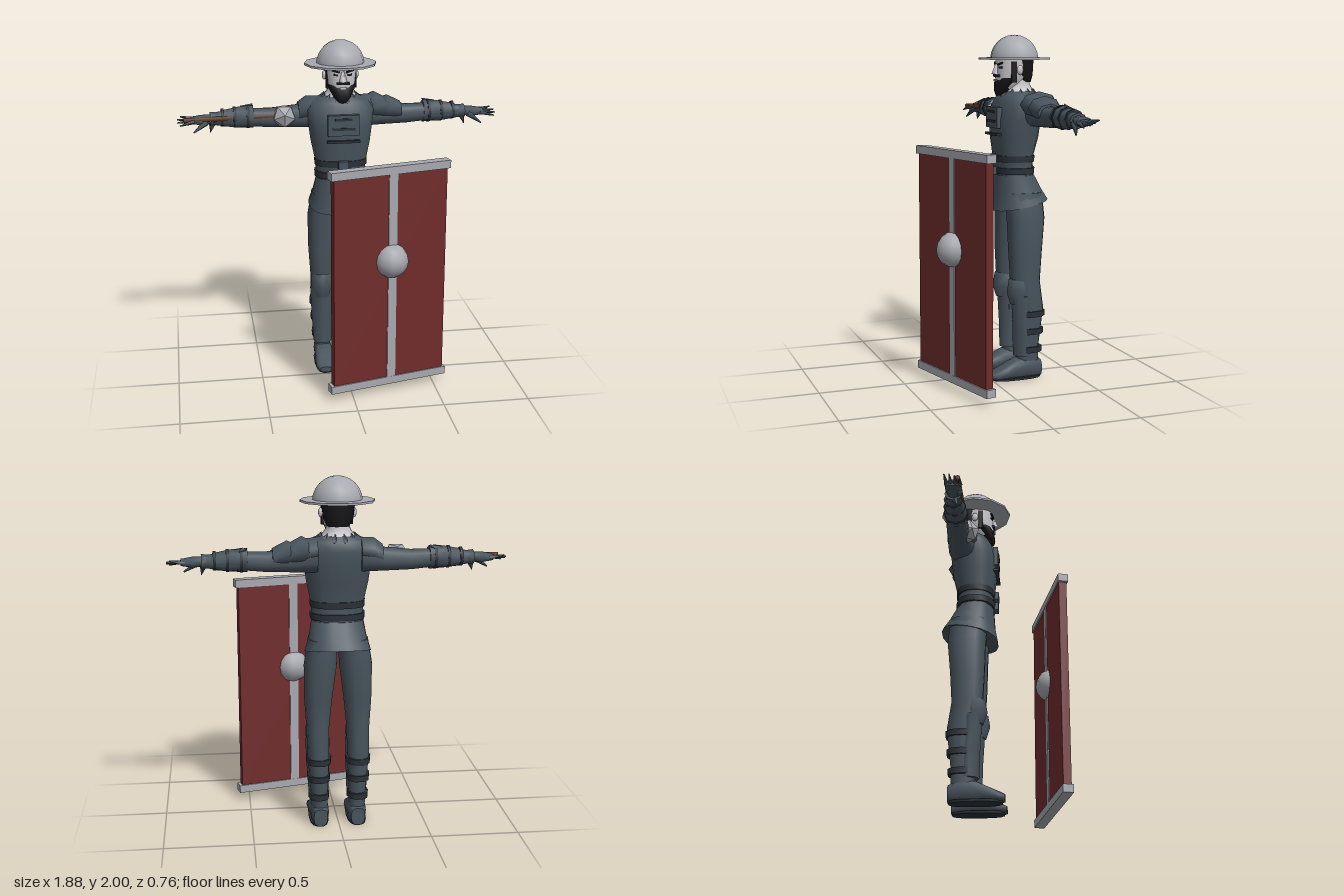
import * as THREE from 'three';

const mat = (name, color) => Object.assign(new THREE.MeshStandardMaterial({ color }), { name });

// Skin through elliptical sections [t, centreU, centreV, radiusU, radiusV, tilt] along an axis, t rising.
// Axis y uses (x, z), axis x uses (y, z), axis z uses (x, y).
function loft(axis, sections, n = 14, power = 0.85) {
  const pos = [], idx = [];
  const soft = (v) => Math.sign(v) * Math.abs(v) ** power;
  const put = (t, u, v) => {
    if (axis === 'y') pos.push(u, t, v);
    else if (axis === 'x') pos.push(t, u, v);
    else pos.push(u, v, t);
    return pos.length / 3 - 1;
  };
  const s = axis === 'y' ? -1 : 1;
  const ring = ([t, cu, cv, ru, rv, tilt = 0]) => {
    const first = pos.length / 3;
    for (let j = 0; j < n; j++) {
      const a = (j / n) * Math.PI * 2;
      const dv = s * rv * soft(Math.sin(a));
      put(t + tilt * dv, cu + ru * soft(Math.cos(a)), cv + dv);
    }
    return first;
  };
  const starts = sections.map(ring);
  for (let i = 0; i + 1 < starts.length; i++) {
    for (let j = 0; j < n; j++) {
      const k = (j + 1) % n, a = starts[i], b = starts[i + 1];
      idx.push(a + j, a + k, b + j, a + k, b + k, b + j);
    }
  }
  for (const [sec, end] of [[sections[0], false], [sections[sections.length - 1], true]]) {
    const r = ring(sec), c = put(sec[0], sec[1], sec[2]);
    for (let j = 0; j < n; j++) {
      const k = (j + 1) % n;
      if (end) idx.push(c, r + j, r + k);
      else idx.push(c, r + k, r + j);
    }
  }
  const g = new THREE.BufferGeometry();
  g.setAttribute('position', new THREE.Float32BufferAttribute(pos, 3));
  g.setIndex(idx);
  g.computeVertexNormals();
  return g;
}

// Copy reflected across x = 0 with corrected winding
function mirror(geo) {
  const g = geo.clone().scale(-1, 1, 1), a = g.index.array;
  for (let i = 0; i < a.length; i += 3) [a[i], a[i + 1]] = [a[i + 1], a[i]];
  g.computeVertexNormals();
  return g;
}

const box = (w, h, d, x, y, z, rz = 0, ry = 0) =>
  new THREE.BoxGeometry(w, h, d).rotateZ(rz).rotateY(ry).translate(x, y, z);

// Tapered rod between two points
function rod(a, b, r0, r1, n = 5) {
  const from = new THREE.Vector3(...a), dir = new THREE.Vector3(...b).sub(from);
  const g = new THREE.CylinderGeometry(r1, r0, dir.length(), n);
  g.applyQuaternion(new THREE.Quaternion().setFromUnitVectors(new THREE.Vector3(0, 1, 0), dir.clone().normalize()));
  return g.translate(...from.addScaledVector(dir, 0.5).toArray());
}

export function createModel() {
  const root = new THREE.Group();
  root.name = 'soldier';
  const suit = mat('slate cloth', 0x47535c), dark = mat('dark leather', 0x2a3137);
  const skin = mat('pale skin', 0xc8c6cb), hairMat = mat('black hair', 0x141418);
  const steel = mat('steel', 0xa8a9b0), red = mat('red panel', 0x702c2c), wood = mat('brown wood', 0x5c3720);
  const add = (name, geo, m, parent = root) => {
    const mesh = new THREE.Mesh(geo, m);
    mesh.name = name;
    parent.add(mesh);
    return mesh;
  };
  const pair = (name, geo, m) => {
    add(name + 'Left', geo, m);
    add(name + 'Right', mirror(geo), m);
  };

  // Torso, flared skirt and belts
  add('torso', loft('y', [
    [1.08, 0, -0.19, 0.155, 0.12], [1.2, 0, -0.17, 0.142, 0.105], [1.3, 0, -0.167, 0.15, 0.105],
    [1.42, 0, -0.175, 0.175, 0.128], [1.52, 0, -0.18, 0.188, 0.135], [1.6, 0, -0.193, 0.2, 0.132],
    [1.65, 0, -0.2, 0.17, 0.112], [1.68, 0, -0.2, 0.1, 0.085]], 18), suit);
  add('skirt', loft('y', [
    [1.025, 0, -0.2, 0.188, 0.165, -0.2], [1.1, 0, -0.19, 0.165, 0.138, -0.1],
    [1.2, 0, -0.17, 0.147, 0.11]], 18), suit);
  for (const y of [1.225, 1.295]) {
    add('belt', loft('y', [[y - 0.018, 0, -0.168, 0.154, 0.113], [y + 0.018, 0, -0.168, 0.156, 0.114]], 18), dark);
    add('beltBuckle', box(0.06, 0.045, 0.03, 0, y, -0.048), suit);
  }
  // Chest plate with slots
  add('chestPlate', box(0.18, 0.12, 0.03, 0, 1.53, -0.05), suit);
  for (const [y, w] of [[1.565, 0.1], [1.51, 0.13], [1.435, 0.19]])
    add('chestSlot', box(w, 0.014, 0.03, 0, y, -0.045), dark);
  // Skin yoke, ragged collar and neck
  add('neck', loft('y', [[1.64, 0, -0.2, 0.13, 0.105], [1.69, 0, -0.2, 0.085, 0.08],
    [1.72, 0, -0.197, 0.066, 0.07], [1.8, 0, -0.19, 0.066, 0.07]]), skin);
  for (let i = 0; i < 12; i++) {
    const a = (i + 0.5) / 12 * Math.PI * 2, c = Math.cos(a), s = Math.sin(a);
    add('collarPoint', rod([c * 0.12, 1.645, -0.2 + s * 0.1], [c * 0.092, 1.695, -0.2 + s * 0.085], 0.024, 0.001, 4), suit);
  }

  // Head, hair and face
  add('head', loft('y', [[1.675, 0, -0.115, 0.03, 0.035], [1.7, 0, -0.13, 0.058, 0.062],
    [1.76, 0, -0.16, 0.08, 0.094], [1.82, 0, -0.17, 0.088, 0.102], [1.9, 0, -0.172, 0.09, 0.105]], 16), skin);
  add('hair', loft('y', [[1.73, 0, -0.225, 0.06, 0.045], [1.77, 0, -0.217, 0.083, 0.062],
    [1.88, 0, -0.215, 0.096, 0.068]]), hairMat);
  add('beard', loft('y', [[1.655, 0, -0.085, 0.02, 0.022], [1.685, 0, -0.1, 0.05, 0.044],
    [1.73, 0, -0.115, 0.074, 0.054], [1.755, 0, -0.13, 0.082, 0.055]]), hairMat);
  add('moustache', box(0.075, 0.014, 0.02, 0, 1.768, -0.069), hairMat);
  add('mouth', box(0.035, 0.01, 0.008, 0, 1.742, -0.06), skin);
  add('nose', rod([0, 1.775, -0.06], [0, 1.835, -0.068], 0.024, 0.008, 4), skin);
  pair('sideburn', box(0.012, 0.12, 0.03, 0.082, 1.79, -0.142), hairMat);
  pair('ear', new THREE.SphereGeometry(0.025, 8, 6).scale(0.5, 1.1, 0.8).translate(0.094, 1.8, -0.175), skin);
  pair('eyebrow', box(0.045, 0.01, 0.009, 0.04, 1.836, -0.073, 0.25, 0.25), hairMat);
  pair('eye', box(0.026, 0.01, 0.009, 0.04, 1.815, -0.076, 0, 0.25), hairMat);

  // Brimmed helmet
  add('helmetDome', new THREE.SphereGeometry(0.14, 12, 6, 0, Math.PI * 2, 0, Math.PI / 2)
    .translate(0, 1.86, -0.175), steel);
  add('helmetBrim', new THREE.CylinderGeometry(0.208, 0.208, 0.012, 12).translate(0, 1.865, -0.175), steel);

  // Arms, bracers and gloves
  pair('arm', loft('x', [[0.12, 1.565, -0.24, 0.085, 0.085], [0.25, 1.55, -0.248, 0.066, 0.068],
    [0.4, 1.545, -0.247, 0.056, 0.062], [0.5, 1.55, -0.245, 0.052, 0.058], [0.6, 1.55, -0.242, 0.055, 0.056],
    [0.7, 1.55, -0.24, 0.04, 0.042], [0.75, 1.55, -0.237, 0.03, 0.036]]), suit);
  pair('bracer', loft('x', [[0.5, 1.555, -0.245, 0.066, 0.066], [0.58, 1.555, -0.243, 0.062, 0.062],
    [0.69, 1.55, -0.24, 0.046, 0.048]], 8, 1), suit);
  for (const [x, r] of [[0.525, 0.068], [0.6, 0.063], [0.67, 0.054]])
    pair('bracerStrap', loft('x', [[x, 1.555, -0.243, r, r], [x + 0.016, 1.555, -0.243, r, r]], 8, 1), dark);
  pair('elbowPoint', rod([0.56, 1.59, -0.26], [0.5, 1.625, -0.27], 0.03, 0.002, 4), suit);
  pair('gloveCuff', loft('x', [[0.7, 1.55, -0.238, 0.036, 0.04], [0.75, 1.55, -0.237, 0.042, 0.05]], 8, 1), suit);
  pair('palm', loft('x', [[0.74, 1.55, -0.237, 0.028, 0.034], [0.8, 1.547, -0.232, 0.03, 0.046],
    [0.86, 1.547, -0.23, 0.019, 0.044]], 8), suit);
  for (let i = 0; i < 4; i++) {
    const z = -0.266 + i * 0.024;
    pair('finger', rod([0.84, 1.547, z], [0.92 + 0.02 * Math.sin(i), 1.55 - 0.012 * i + 0.012, z * 1.2 + 0.047], 0.014, 0.004), suit);
  }
  pair('thumb', rod([0.77, 1.54, -0.205], [0.845, 1.485, -0.18], 0.021, 0.004), suit);
  pair('cuffPoint', rod([0.735, 1.535, -0.23], [0.75, 1.475, -0.22], 0.025, 0.002, 4), suit);

  // Shoulder guards, larger on the left
  pair('shoulderCap', loft('x', [[0.12, 1.605, -0.23, 0.065, 0.1], [0.19, 1.6, -0.24, 0.07, 0.09],
    [0.24, 1.575, -0.245, 0.058, 0.075]], 10, 1), suit);
  [[0.17, 1.605, 0.073, 0.115], [0.25, 1.59, 0.065, 0.1]].forEach(([x, y, ry, rz]) =>
    add('pauldronLayer', loft('x', [[x, y, -0.245, ry * 0.8, rz * 0.8], [x + 0.035, y + 0.005, -0.245, ry, rz],
      [x + 0.115, y - 0.02, -0.245, ry * 0.76, rz * 0.75]], 8, 1), suit));
  add('pauldronPoint', rod([0.29, 1.6, -0.25], [0.375, 1.605, -0.25], 0.045, 0.002, 4), suit);

  // Legs, greaves, knee guards and boots
  pair('leg', loft('y', [[0.07, 0.108, -0.22, 0.046, 0.066], [0.2, 0.11, -0.22, 0.05, 0.068],
    [0.42, 0.115, -0.225, 0.062, 0.088], [0.58, 0.115, -0.202, 0.066, 0.088], [0.75, 0.112, -0.203, 0.08, 0.098],
    [0.95, 0.1, -0.21, 0.094, 0.11], [1.1, 0.085, -0.2, 0.085, 0.11]]), suit);
  pair('greave', loft('y', [[0.14, 0.11, -0.185, 0.056, 0.055], [0.3, 0.113, -0.185, 0.064, 0.058],
    [0.5, 0.116, -0.178, 0.07, 0.062]], 8, 1), suit);
  pair('kneeGuard', loft('y', [[0.45, 0.116, -0.165, 0.05, 0.055], [0.52, 0.116, -0.16, 0.068, 0.072],
    [0.59, 0.116, -0.165, 0.064, 0.065], [0.61, 0.116, -0.17, 0.04, 0.045]], 8, 1), suit);
  for (const [y, r] of [[0.175, 0.078], [0.285, 0.086], [0.39, 0.094]])
    pair('calfStrap', loft('y', [[y - 0.017, 0.113, -0.226, r * 0.76, r], [y + 0.017, 0.113, -0.226, r * 0.78, r]], 10), dark);
  pair('boot', loft('z', [[-0.3, 0.108, 0.055, 0.04, 0.05], [-0.24, 0.108, 0.068, 0.053, 0.063],
    [-0.15, 0.108, 0.065, 0.056, 0.06], [-0.08, 0.11, 0.047, 0.06, 0.042], [-0.02, 0.113, 0.033, 0.055, 0.028],
    [0.01, 0.114, 0.03, 0.035, 0.018]], 12, 0.7), suit);
  pair('sole', loft('y', [[0, 0.11, -0.15, 0.055, 0.148], [0.014, 0.11, -0.15, 0.057, 0.152]], 14, 0.75), dark);

  // Mace lying along the right arm
  add('maceHandle', rod([-0.9, 1.552, -0.202], [-0.33, 1.562, -0.2], 0.015, 0.015, 8), wood);
  add('maceHead', new THREE.IcosahedronGeometry(0.072).rotateX(0.3).translate(-0.325, 1.56, -0.2), steel);

  // Tall shield standing in front
  const shield = new THREE.Group();
  shield.name = 'shield';
  shield.position.set(0.214, 0, 0.262);
  shield.rotation.y = 0.242;
  root.add(shield);
  add('shieldPanel', box(0.69, 1.25, 0.046, 0, 0.71, 0), red, shield);
  for (const y of [0.073, 1.347]) add('shieldRail', box(0.725, 0.046, 0.06, 0, y, 0), steel, shield);
  add('shieldBar', box(0.052, 1.28, 0.058, 0.01, 0.71, 0), steel, shield);
  add('shieldBoss', new THREE.SphereGeometry(0.1, 10, 8).translate(0.008, 0.816, 0.012), steel, shield);
  return root;
}
